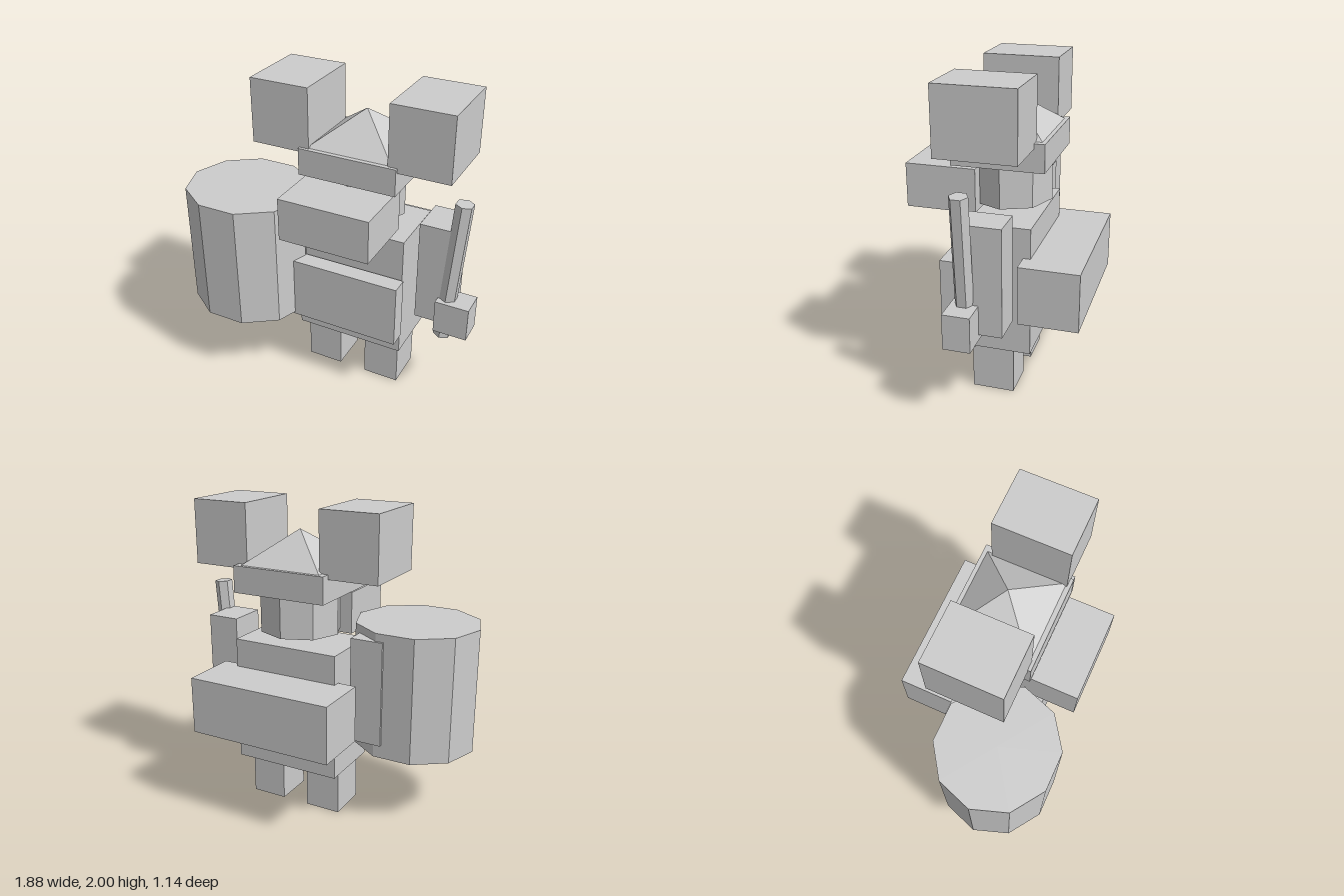
import * as THREE from 'three';

export function createModel() {
  const model = new THREE.Group();
  model.name = 'blockFigure';
  const grey = new THREE.MeshStandardMaterial({ color: 0xcccccc, flatShading: true });
  grey.name = 'light grey';

  const MID = 0.158; // the body stands off centre, balanced by the drum

  function add(name, geometry, x, y, z) {
    const mesh = new THREE.Mesh(geometry, grey);
    mesh.name = name;
    mesh.position.set(x, y, z);
    model.add(mesh);
    return mesh;
  }

  // Box given by its extents on each axis
  function box(name, [x0, x1], [y0, y1], [z0, z1]) {
    return add(name, new THREE.BoxGeometry(x1 - x0, y1 - y0, z1 - z0),
      (x0 + x1) / 2, (y0 + y1) / 2, (z0 + z1) / 2);
  }

  // Upright prism with separate radii in x and z, corners on the x axis
  function prism(name, sides, rx, rz, [y0, y1], x, z) {
    const g = new THREE.CylinderGeometry(1, 1, y1 - y0, sides);
    g.rotateY(Math.PI / 2);
    g.scale(rx, 1, rz);
    return add(name, g, x, (y0 + y1) / 2, z);
  }

  // Body
  box('torso', [-0.2, 0.515], [0.31, 1.13], [-0.255, 0.18]);
  box('bellyPlate', [-0.21, 0.53], [0.46, 0.87], [0.195, 0.305]);
  box('backpack', [-0.32, 0.64], [0.58, 0.945], [-0.575, -0.21]);

  // Head, snout and hat
  prism('head', 8, 0.265, 0.2525, [1.195, 1.455], MID, -0.04);
  box('snout', [-0.13, 0.445], [1.165, 1.435], [0.1, 0.53]);
  box('hatBrim', [-0.155, 0.47], [1.455, 1.625], [-0.32, 0.24]);
  const peak = new THREE.ConeGeometry(Math.SQRT2, 0.21, 4);
  peak.rotateY(Math.PI / 4);
  peak.scale(0.2725, 1, 0.2525);
  add('hatPeak', peak, MID, 1.73, -0.042);

  // Mirrored ears, arms and legs
  for (const [side, s] of [['left', 1], ['right', -1]]) {
    const span = (a, b) => [MID + s * a, MID + s * b].sort((p, q) => p - q);
    box(side + 'Ear', span(0.252, 0.633), [1.595, 2], [-0.257, 0.22]);
    box(side + 'Arm', span(0.417, 0.627), [0.56, 1.23], [-0.165, 0.09]);
    box(side + 'Leg', span(0.09, 0.325), [0, 0.31], [-0.142, 0.12]);
  }

  // Hand holding a slightly leaning stick
  box('leftHand', [0.72, 0.935], [0.525, 0.745], [-0.025, 0.14]);
  const stick = new THREE.CylinderGeometry(0.057, 0.057, 0.952, 6);
  add('stick', stick, 0.792, 0.938, 0.06).rotation.z = -0.077;

  // Ten-sided drum on the right
  prism('drum', 10, 0.4, 0.3785, [0.475, 1.28], -0.54, 0.21);

  return model;
}
